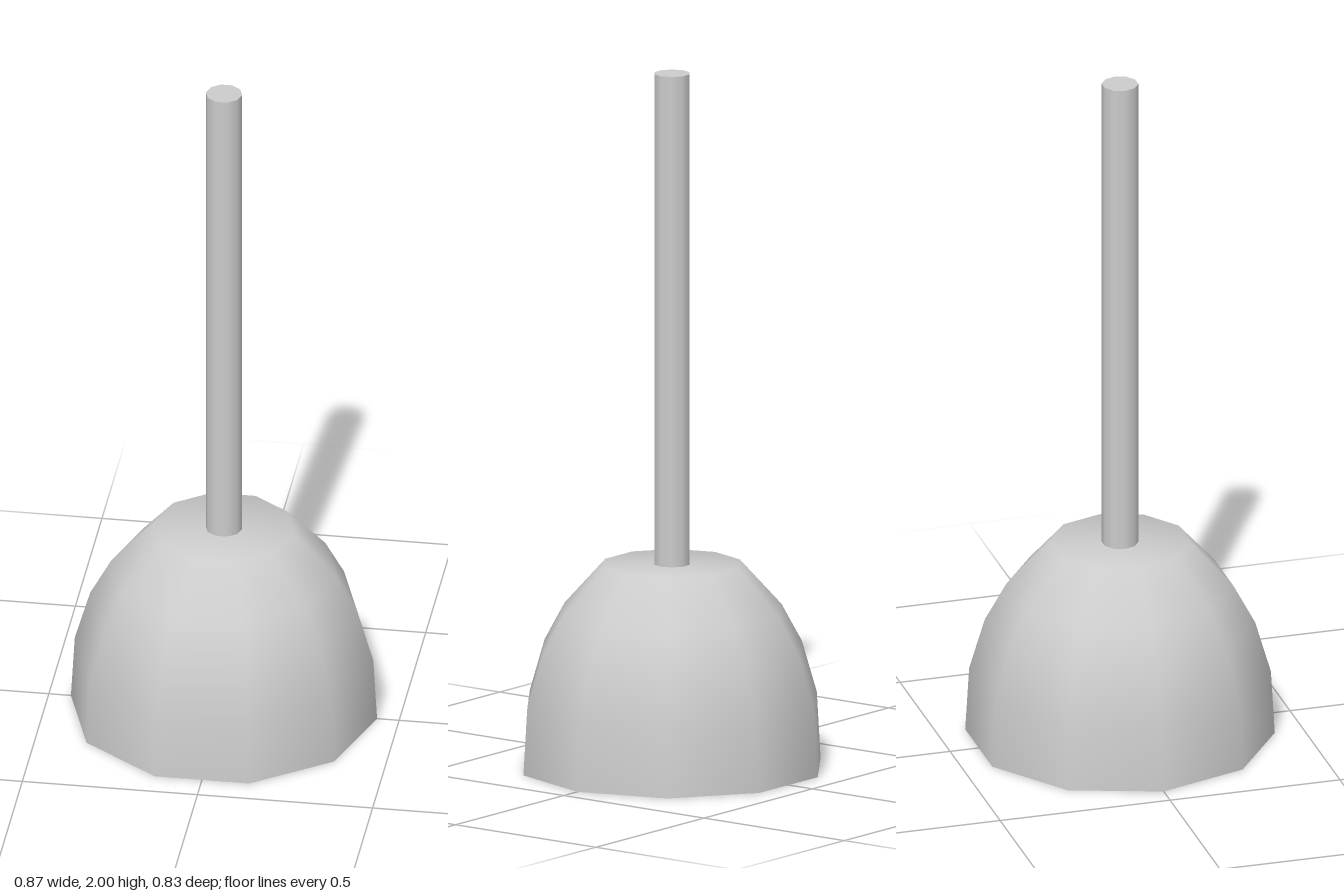
import * as THREE from 'three';

const SIDES = 10;

export function createModel() {
  const model = new THREE.Group();
  const material = new THREE.MeshStandardMaterial({ color: 0xcccccc });

  function add(name, geometry, y = 0, parent = model) {
    const mesh = new THREE.Mesh(geometry, material);
    mesh.name = name;
    mesh.position.y = y;
    mesh.rotation.y = Math.PI / 2; // corners point along x
    parent.add(mesh);
  }
  const lathe = (points) =>
    new THREE.LatheGeometry(points.map(([r, y]) => new THREE.Vector2(r, y)), SIDES);

  // Hollow ten-sided bell: outer wall, lower rim and inner wall
  const bell = new THREE.Group();
  bell.name = 'bell';
  model.add(bell);
  const outer = [[0.437, 0], [0.426, 0.19], [0.382, 0.34], [0.322, 0.45], [0.2, 0.585], [0, 0.585]];
  const inner = [[0, 0.56], [0.185, 0.56], [0.305, 0.435], [0.362, 0.33], [0.408, 0.185], [0.421, 0]];
  add('bellOuterWall', lathe(outer), 0, bell);
  add('bellRim', lathe([[0.421, 0], [0.437, 0]]), 0, bell);
  add('bellInnerWall', lathe(inner), 0, bell);

  // Handle runs through the crown and carries the clapper
  add('handle', new THREE.CylinderGeometry(0.052, 0.052, 1.6, SIDES), 1.2);
  add('clapper', new THREE.SphereGeometry(0.2, 16, 12), 0.245);

  return model;
}
